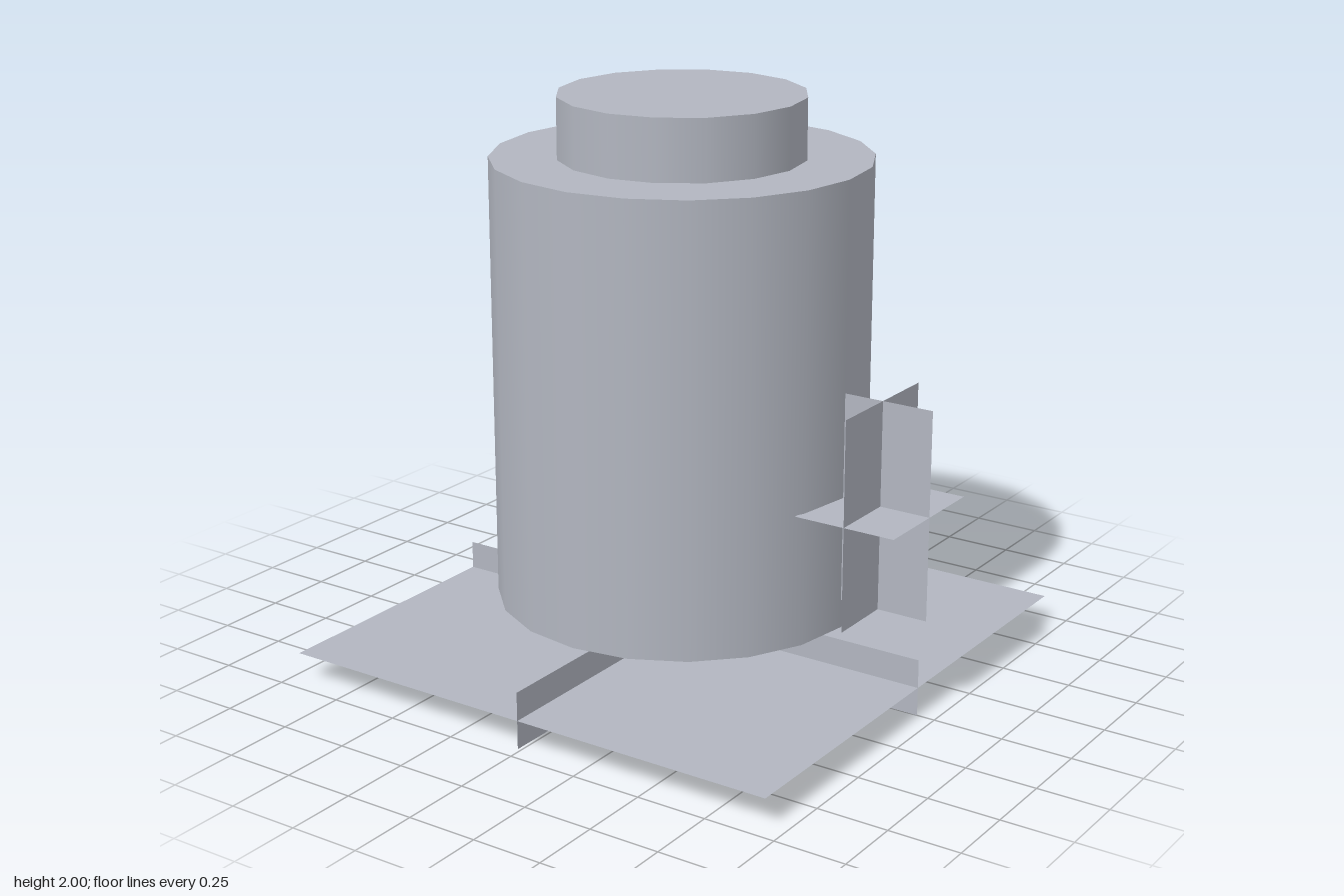
import * as THREE from 'three';

export function createModel() {
  const model = new THREE.Group();
  const grey = new THREE.MeshStandardMaterial({ color: 0xb2b6c0, side: THREE.DoubleSide });
  grey.name = 'pale grey';
  const centreX = -0.0125;

  // Upright round part standing between two heights
  function drum(name, radius, bottom, top, sides) {
    const mesh = new THREE.Mesh(new THREE.CylinderGeometry(radius, radius, top - bottom, sides), grey);
    mesh.name = name;
    mesh.position.set(centreX, (bottom + top) / 2, 0);
    model.add(mesh);
  }

  // Three flat sheets crossing at right angles through one centre
  function crossedSheets(name, width, height, depth, x, y) {
    const group = new THREE.Group();
    group.name = name;
    const sheets = [
      ['LevelSheet', width, depth, -Math.PI / 2, 0],
      ['LengthwiseSheet', width, height, 0, 0],
      ['CrosswiseSheet', depth, height, 0, Math.PI / 2],
    ];
    for (const [suffix, w, h, rx, ry] of sheets) {
      const sheet = new THREE.Mesh(new THREE.PlaneGeometry(w, h), grey);
      sheet.name = name + suffix;
      sheet.rotation.set(rx, ry, 0);
      group.add(sheet);
    }
    group.position.set(x, y, 0);
    model.add(group);
  }

  drum('body', 0.645, 0.245, 1.79, 20);
  drum('lid', 0.42, 1.79, 2, 16);
  crossedSheets('base', 1.895, 0.2, 1.895, centreX, 0.1);
  crossedSheets('sideBox', 0.367, 0.73, 0.472, 0.774, 0.71);

  return model;
}
